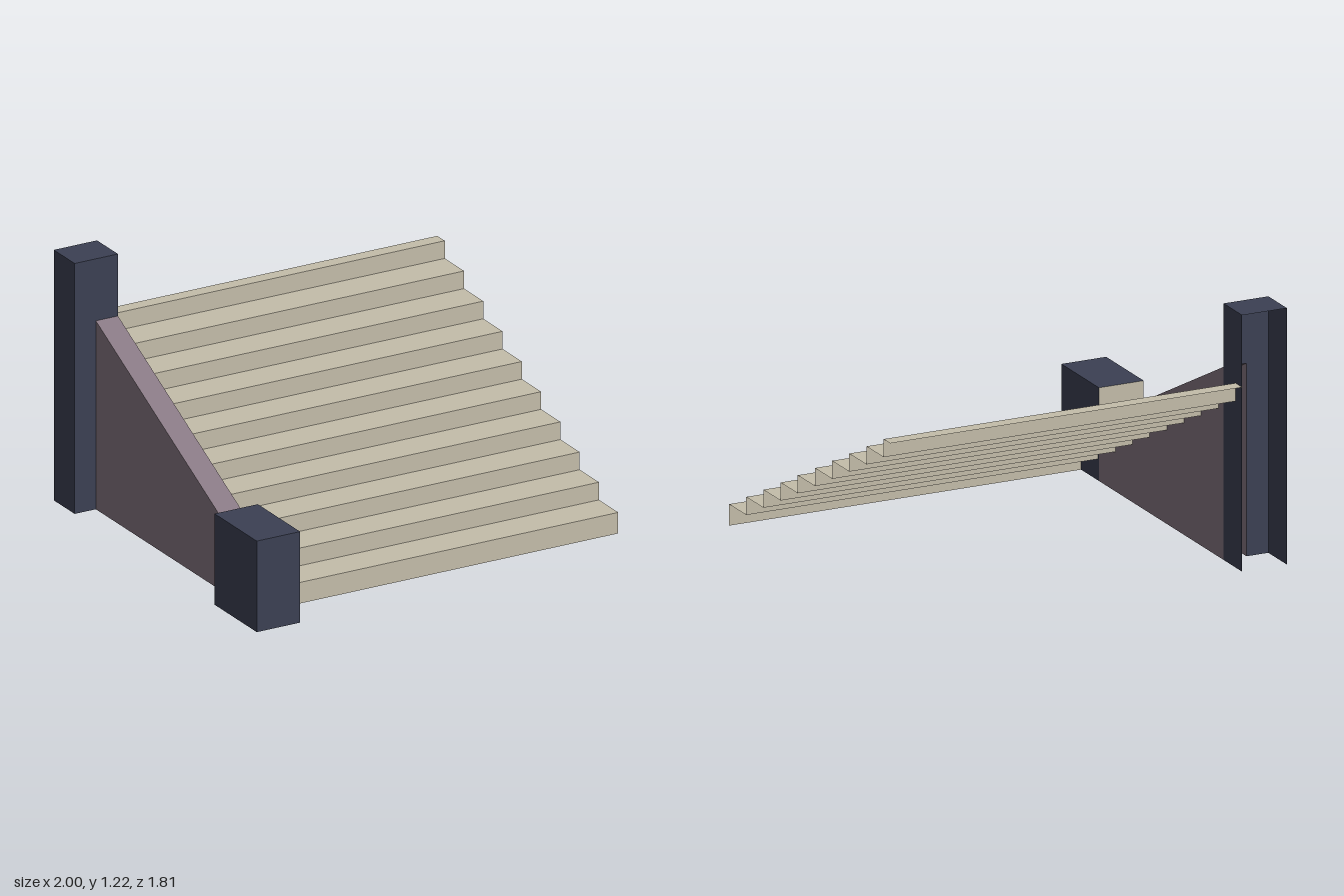
import * as THREE from 'three';

const mat = (name, color) =>
  Object.assign(new THREE.MeshStandardMaterial({ color, side: THREE.DoubleSide }), { name });

export function createModel() {
  const stone = mat('sandstone', 0xc4bdaa);
  const slate = mat('dark slate', 0x3b4053);
  const plum = mat('plum plaster', 0x84747f);
  const model = new THREE.Group();
  model.name = 'staircase';

  const group = (name) => {
    const g = new THREE.Group();
    g.name = name;
    model.add(g);
    return g;
  };
  const add = (parent, name, geometry, material) => {
    const m = new THREE.Mesh(geometry, material);
    m.name = name;
    parent.add(m);
  };
  // Flat panels: across x (facing z), level (facing up), and along z (facing x)
  const upright = (x0, x1, y0, y1, z, back = false) =>
    new THREE.PlaneGeometry(x1 - x0, y1 - y0).rotateY(back ? Math.PI : 0)
      .translate((x0 + x1) / 2, (y0 + y1) / 2, z);
  const level = (x0, x1, z0, z1, y) =>
    new THREE.PlaneGeometry(x1 - x0, z1 - z0).rotateX(-Math.PI / 2)
      .translate((x0 + x1) / 2, y, (z0 + z1) / 2);
  // Side panel from [z, y] points; dir is the way it faces along x
  const side = (points, x, dir) => {
    const shape = new THREE.Shape(points.map(([z, y]) => new THREE.Vector2(-dir * z, y)));
    return new THREE.ShapeGeometry(shape).rotateY(dir * Math.PI / 2).translate(x, 0, 0);
  };
  const rect = (z0, z1, h) => [[z0, 0], [z1, 0], [z1, h], [z0, h]];

  const outer = -1, inner = -0.775, railOuter = -0.89, right = 0.995;
  const postFront = 0.53, postBack = -0.72, rear = -0.907, railTop = 0.915;

  // Steps: thin risers and treads, open underneath
  const steps = group('steps');
  const count = 10, run = 0.1722, first = 0.71;
  const heightAt = (i) => (i === 0 ? 0 : 0.102 + (i - 1) * 0.0858);
  for (let i = 0; i < count; i++) {
    const z = first - i * run;
    const back = i === count - 1 ? rear : z - run;
    add(steps, 'riser', upright(inner, right, heightAt(i), heightAt(i + 1), z), stone);
    add(steps, 'tread', level(inner, right, back, z, heightAt(i + 1)), stone);
  }

  // Sloping side wall, hollow with open bottom and ends
  const wall = group('sideWall');
  const profile = [[postFront, 0], [postBack, 0], [postBack, railTop], [postFront, 0.29]];
  add(wall, 'innerFace', side(profile, inner, 1), plum);
  add(wall, 'outerFace', side(profile, railOuter, -1), plum);
  const rise = railTop - 0.29, length = postFront - postBack;
  const coping = new THREE.PlaneGeometry(inner - railOuter, Math.hypot(rise, length))
    .rotateX(-Math.PI / 2 + Math.atan2(rise, length))
    .translate((inner + railOuter) / 2, (railTop + 0.29) / 2, (postFront + postBack) / 2);
  add(wall, 'coping', coping, plum);

  // Shared post shell: two sides and a cap, open bottom
  const post = (name, z0, z1, h) => {
    const g = group(name);
    add(g, 'innerSide', side(rect(z0, z1, h), inner, 1), slate);
    add(g, 'outerSide', side(rect(z0, z1, h), outer, -1), slate);
    add(g, 'cap', level(outer, inner, z0, z1, h), slate);
    return g;
  };

  // Low front post with a stone back and a plum base strip
  const low = post('frontPost', postFront, 0.907, 0.442);
  add(low, 'front', upright(outer, inner, 0, 0.442, 0.907), slate);
  add(low, 'back', upright(outer, inner, 0.07, 0.442, postFront, true), stone);
  add(low, 'baseStrip', upright(outer, inner, 0, 0.07, postFront, true), plum);

  // Tall back post, open behind, its front notched around the side wall
  const tall = post('backPost', rear, postBack, 1.216);
  add(tall, 'frontStrip', upright(outer, railOuter, 0, railTop, postBack), slate);
  add(tall, 'frontUpper', upright(outer, inner, railTop, 1.216, postBack), slate);

  return model;
}
